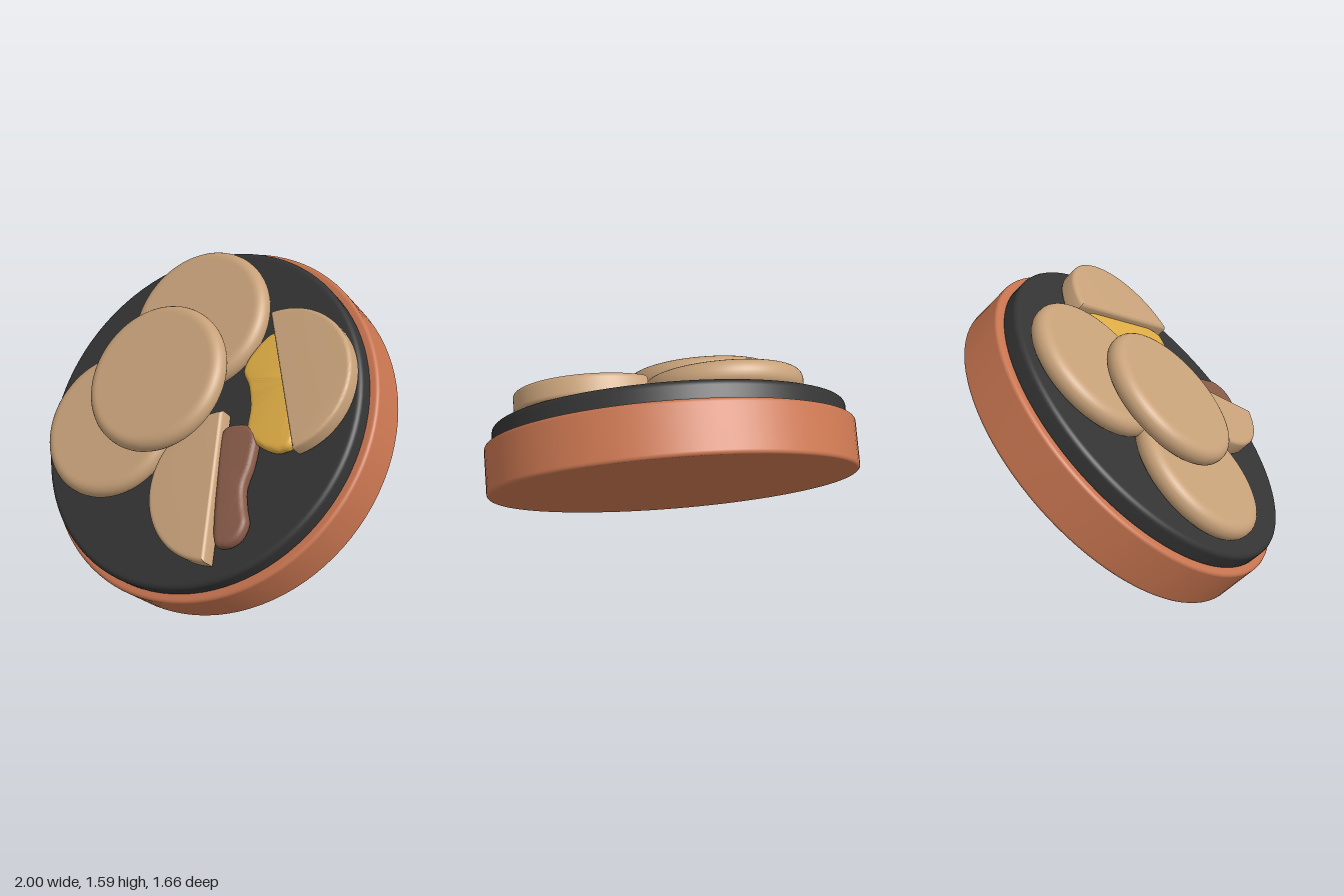
import * as THREE from 'three';
import { toCreasedNormals } from 'three/addons/utils/BufferGeometryUtils.js';

const mat = (color) => new THREE.MeshStandardMaterial({ color });
const CLAY = mat(0xc87550), BLACK = mat(0x343434), TAN = mat(0xc8a27a);
const YELLOW = mat(0xdfad45), BROWN = mat(0x875a48);

// Solid disc standing on y = 0, its rims rounded by b
function discGeometry(r, t, b) {
  const pts = [new THREE.Vector2(0, 0), new THREE.Vector2(r - b - 0.01, 0)];
  const n = 6;
  for (const [cy, start] of [[b, -Math.PI / 2], [t - b, 0]]) {
    for (let i = 0; i <= n; i++) {
      const a = start + (i / n) * Math.PI / 2;
      pts.push(new THREE.Vector2(r - b + b * Math.cos(a), cy + b * Math.sin(a)));
    }
  }
  pts.push(new THREE.Vector2(r - b - 0.01, t), new THREE.Vector2(0, t));
  return new THREE.LatheGeometry(pts, 96);
}

// Flat outline raised to thickness t with a rounded edge inside the outline
function slabGeometry(shape, t, b) {
  const geo = new THREE.ExtrudeGeometry(shape, {
    depth: t - 2 * b, bevelThickness: b, bevelSize: b, bevelOffset: -b,
    bevelSegments: 5, curveSegments: 40,
  });
  geo.translate(0, 0, b).rotateX(-Math.PI / 2);
  return toCreasedNormals(geo, 0.6);
}

// Soft closed outline through [x, z] points
function blobShape(points) {
  const v = points.map(([x, z]) => new THREE.Vector2(x, -z));
  const shape = new THREE.Shape().moveTo(v[0].x, v[0].y);
  return shape.splineThru([...v.slice(1), v[0].clone()]);
}

export function createModel() {
  const model = new THREE.Group();
  model.name = 'tiltedPlate';

  // Everything is laid out flat, then tipped towards the front
  const plate = new THREE.Group();
  plate.name = 'plate';
  plate.rotation.x = THREE.MathUtils.degToRad(43.2);
  plate.position.set(0, 0.685, -0.105);
  model.add(plate);

  const add = (name, geo, material, x = 0, y = 0, z = 0, turn = 0) => {
    const mesh = new THREE.Mesh(geo, material);
    mesh.name = name;
    mesh.position.set(x, y, z);
    mesh.rotation.y = THREE.MathUtils.degToRad(turn);
    plate.add(mesh);
  };

  // Clay base and dark griddle surface
  const top = 0.37;
  add('base', discGeometry(1, 0.27, 0.02), CLAY);
  add('griddle', discGeometry(0.955, 0.12, 0.03), BLACK, 0, 0.25);

  // Three whole cakes, the third stacked on the other two
  const cake = discGeometry(0.41, 0.12, 0.055);
  add('lowerCake', cake, TAN, -0.39, top, 0.28);
  add('upperCake', cake, TAN, -0.25, top, -0.44);
  add('stackedCake', cake, TAN, -0.195, top + 0.12, -0.05);

  // Two cut halves
  const half = new THREE.Shape().absarc(0, 0, 0.4, 0.04, Math.PI - 0.04, false);
  const halfGeo = slabGeometry(half, 0.11, 0.022);
  add('upperHalfCake', halfGeo, TAN, 0.42, top, -0.345, -45);
  add('lowerHalfCake', halfGeo, TAN, 0.44, top, 0.265, 120);

  // Fillings oozing out from the cut sides
  const yellowFilling = blobShape([
    [0.5, -0.4], [0.3, -0.55], [0.2, -0.55], [0.16, -0.42], [0.17, -0.31],
    [0.25, -0.25], [0.33, -0.16], [0.39, -0.05], [0.46, -0.015], [0.55, -0.01],
    [0.63, -0.04], [0.66, -0.13],
  ]);
  const brownFilling = blobShape([
    [0.4, 0.25], [0.27, 0.03], [0.34, -0.06], [0.45, -0.06], [0.525, 0.08],
    [0.56, 0.2], [0.62, 0.28], [0.685, 0.35], [0.695, 0.44], [0.645, 0.51],
    [0.57, 0.5],
  ]);
  add('yellowFilling', slabGeometry(yellowFilling, 0.075, 0.028), YELLOW, 0, top - 0.005);
  add('brownFilling', slabGeometry(brownFilling, 0.08, 0.03), BROWN, 0, top - 0.005);

  return model;
}
